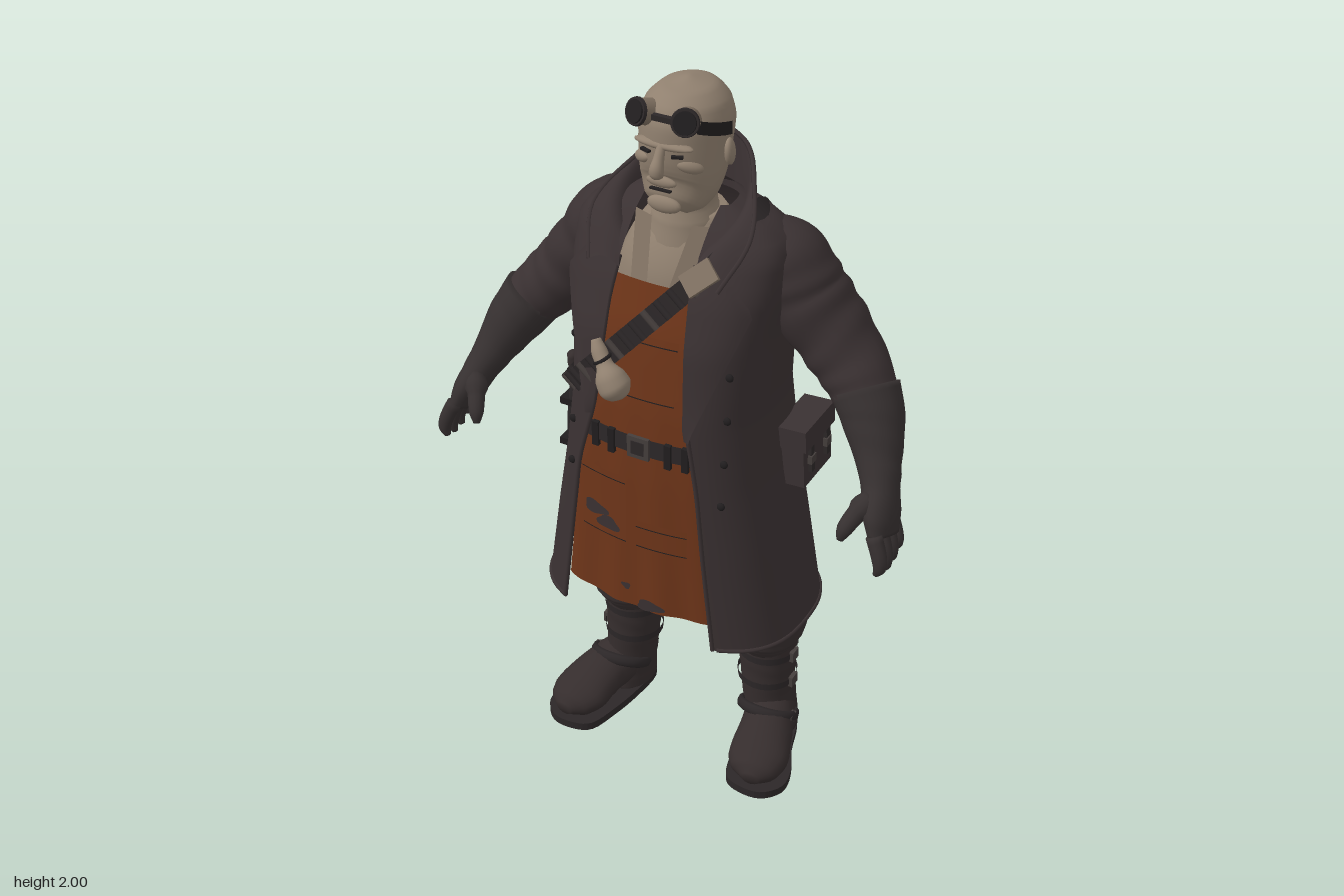
import * as THREE from 'three';

const V = (x, y, z) => new THREE.Vector3(x, y, z);
const material = (name, color, side = THREE.FrontSide) =>
  Object.assign(new THREE.MeshStandardMaterial({ color, side }), { name });

export function createModel() {
  const root = new THREE.Group();
  root.name = 'coatedMan';
  const D = THREE.DoubleSide;
  const skin = material('skin', 0x90806f);
  const tan = material('tanCloth', 0x7f7061, D);
  const coat = material('coatCloth', 0x3a3132, D);
  const glove = material('gloveLeather', 0x363030);
  const boot = material('bootLeather', 0x352d2d);
  const trouser = material('trouserCloth', 0x383030);
  const apron = material('apronLeather', 0x6e3519, D);
  const strap = material('strapLeather', 0x2c2728, D);
  const metal = material('metal', 0x453e3c);
  const dark = material('darkDetail', 0x211e1f, D);

  function add(name, geo, mat, pos, rot, scale) {
    const m = new THREE.Mesh(geo, mat);
    m.name = name;
    if (pos) m.position.set(...pos);
    if (rot) m.rotation.set(...rot);
    if (scale) m.scale.set(...scale);
    root.add(m);
    return m;
  }
  const box = (name, mat, size, pos, rot) => add(name, new THREE.BoxGeometry(...size), mat, pos, rot);
  const ball = (name, mat, size, pos, rot) => add(name, new THREE.SphereGeometry(1, 20, 14), mat, pos, rot, size);

  function build(pos, idx) {
    const g = new THREE.BufferGeometry();
    g.setAttribute('position', new THREE.Float32BufferAttribute(pos, 3));
    g.setIndex(idx);
    g.computeVertexNormals();
    return g;
  }
  // sheet from a rule f(u, v)
  function grid(f, nu, nv) {
    const pos = [], idx = [];
    for (let j = 0; j <= nv; j++) for (let i = 0; i <= nu; i++) {
      pos.push(...f(i / nu, j / nv).toArray());
      if (i < nu && j < nv) {
        const a = j * (nu + 1) + i, d = a + nu + 1;
        idx.push(a, a + 1, d, a + 1, d + 1, d);
      }
    }
    return build(pos, idx);
  }
  // closed loft along stations [x, y, z, radiusA, radiusB], with optional cloth folds
  function limb(st, segs = 20, ref = V(0, 0, 1), fold = 0, waves = 8, n = 20) {
    const c = new THREE.CatmullRomCurve3(st.map(s => V(s[0], s[1], s[2])));
    const r = new THREE.CatmullRomCurve3(st.map(s => V(s[3], s[4], 0)));
    const pos = [], idx = [];
    for (let i = 0; i <= segs; i++) {
      const t = i / segs, p = c.getPoint(t), q = r.getPoint(t), T = c.getTangent(t);
      const A = T.clone().cross(ref).normalize(), B = T.clone().cross(A);
      for (let j = 0; j < n; j++) {
        const a = j / n * Math.PI * 2;
        const k = 1 + fold * Math.sin(t * waves * 6.28 + 2.2 * Math.sin(a + t * 9)) * Math.sin(Math.PI * t);
        pos.push(...p.clone().addScaledVector(A, q.x * k * Math.cos(a)).addScaledVector(B, q.y * k * Math.sin(a)).toArray());
        if (i < segs) {
          const a0 = i * n + j, b0 = i * n + (j + 1) % n;
          idx.push(a0, b0, a0 + n, b0, b0 + n, a0 + n);
        }
      }
    }
    const e = pos.length / 3;
    pos.push(...c.getPoint(0).toArray(), ...c.getPoint(1).toArray());
    for (let j = 0; j < n; j++) {
      const k = (j + 1) % n;
      idx.push(e, k, j, e + 1, segs * n + j, segs * n + k);
    }
    return build(pos, idx);
  }
  const tube = (name, mat, pts, r, segs = 30) =>
    add(name, new THREE.TubeGeometry(new THREE.CatmullRomCurve3(pts), segs, r, 6), mat);

  // coat levels: y, half width, front z, back z, opening at -x, opening at +x
  const levels = [
    [0.53, .368, .24, -.30, .245, .21], [0.8, .325, .238, -.275, .21, .18], [1.0, .29, .235, -.26, .185, .16],
    [1.2, .265, .228, -.252, .13, .13], [1.4, .272, .20, -.25, .11, .12], [1.52, .285, .155, -.237, .11, .11],
    [1.61, .28, .105, -.205, .10, .10], [1.655, .25, .065, -.18, .10, .10], [1.685, .18, .03, -.165, .10, .10], [1.7, .12, 0, -.15, .10, .10]];
  function level(y) {
    let i = 0;
    while (i < levels.length - 2 && y > levels[i + 1][0]) i++;
    const a = levels[i], b = levels[i + 1], t = (y - a[0]) / (b[0] - a[0]);
    return a.map((v, k) => v + (b[k] - v) * t);
  }
  const FRONT = 0.7, BACK = 0.84, ZC = -0.03;
  function coatPoint(y, phi) {
    const [, rx, zf, zb] = level(y), c = Math.cos(phi), s = Math.sin(phi), e = c > 0 ? FRONT : BACK;
    const z = Math.abs(c) ** e * (c > 0 ? zf - ZC : zb - ZC);
    return V(rx * Math.sign(s) * Math.abs(s) ** e, y, ZC + z);
  }
  const phiAt = (x, rx, e = FRONT) => Math.asin(Math.min(1, Math.abs(x) / rx) ** (1 / e));
  const frontZ = (x, y) => coatPoint(y, phiAt(x, level(y)[1])).z;
  const backZ = (x, y) => coatPoint(y, Math.PI - phiAt(x, level(y)[1], BACK)).z;

  // long open coat
  add('coatBody', grid((u, v) => {
    const y = 0.53 + 1.17 * v, L = level(y), a = phiAt(L[5], L[1]), b = 2 * Math.PI - phiAt(L[4], L[1]);
    return coatPoint(y, a + (b - a) * u);
  }, 72, 40), coat);
  tube('coatHem', coat, Array.from({ length: 25 }, (_, i) => coatPoint(0.532, 0.5 + 5.2 * i / 24)), 0.006, 72);
  for (const s of [1, -1]) {
    const edge = y => { const x = level(y)[s > 0 ? 5 : 4]; return V(s * x, y, frontZ(x, y)); };
    tube('coatEdge', coat, Array.from({ length: 12 }, (_, i) => edge(0.53 + i * 0.095)), 0.006);
    // lapel
    add('lapel', grid((u, v) => {
      const y = 1.17 + 0.43 * v, x0 = level(y)[s > 0 ? 5 : 4] - 0.005;
      const w = v < 0.78 ? 0.015 + 0.135 * v / 0.78 : 0.15 - 0.3 * (v - 0.78);
      const x = x0 + w * u;
      return V(s * x, y, frontZ(x, y) + 0.012 + 0.01 * u);
    }, 8, 16), coat);
    // coat buttons
    for (const y of [0.98, 1.1, 1.22, 1.34])
      ball('coatButton', dark, [.011, .011, .007], [s * .215, y, frontZ(.215, y) + 0.003]);
    // sleeve
    add('sleeve', limb([[s * .15, 1.58, -.08, .07, .085], [s * .235, 1.555, -.085, .1, .11], [s * .298, 1.465, -.095, .102, .112],
      [s * .375, 1.365, -.1, .097, .105], [s * .455, 1.28, -.075, .085, .09], [s * .52, 1.2, -.035, .069, .075]], 48, V(0, 0, 1), .028, 7), coat);
    // glove with gauntlet, fingers and thumb
    add('glove', limb([[s * .475, 1.265, -.066, .086, .088], [s * .515, 1.2, -.035, .077, .08], [s * .555, 1.12, .015, .056, .06],
      [s * .578, 1.07, .048, .046, .054], [s * .598, 1.02, .08, .039, .068], [s * .613, .975, .097, .029, .062]], 28, V(0, 0, 1), .02, 4), glove);
    for (let i = 0; i < 4; i++) {
      const z = 0.045 + i * 0.034, d = [.02, .005, 0, .008][i];
      add('finger', limb([[s * .608, 1.0, z, .021, .02], [s * .628, .955, z + .01, .02, .019],
        [s * .634, .915 + d, z + .014, .017, .017], [s * .625, .893 + d, z + .016, .008, .008]], 10, V(0, 0, 1), 0, 1, 10), glove);
    }
    add('thumb', limb([[s * .575, 1.07, .085, .024, .024], [s * .55, 1.035, .125, .024, .024],
      [s * .533, 1.0, .155, .02, .02], [s * .527, .973, .165, .009, .009]], 12, V(0, 0, 1), 0, 1, 12), glove);
    // trouser leg
    add('trouserLeg', limb([[s * .11, .95, -.03, .13, .15], [s * .15, .75, -.04, .13, .14], [s * .19, .58, -.065, .122, .135],
      [s * .215, .47, -.085, .115, .12], [s * .213, .39, -.1, .103, .108], [s * .21, .34, -.108, .08, .085]], 44, V(0, 0, 1), .028, 7), trouser);
    // boot, toes turned out
    add('bootShaft', limb([[s * .212, .36, -.108, .082, .083], [s * .214, .27, -.108, .079, .08], [s * .22, .16, -.11, .072, .08],
      [s * .228, .09, -.112, .07, .085], [s * .232, .02, -.112, .07, .09]], 28, V(0, 0, 1), .015, 5), boot);
    add('bootFoot', limb([[s * .228, .07, -.15, .058, .05], [s * .243, .095, -.08, .07, .07], [s * .265, .09, 0, .076, .064],
      [s * .284, .072, .08, .084, .054], [s * .294, .062, .13, .066, .043], [s * .298, .055, .16, .022, .018]], 28, V(0, 1, 0), .01, 5), boot);
    const outline = [[.21, -.2], [.168, -.15], [.172, -.04], [.19, .06], [.215, .14], [.265, .165], [.33, .16],
      [.373, .11], [.366, .04], [.325, -.05], [.298, -.14], [.262, -.2], [.21, -.2]];
    const sole = new THREE.Shape(new THREE.SplineCurve(outline.map(p => new THREE.Vector2(s * p[0], p[1]))).getPoints(48));
    add('bootSole', new THREE.ExtrudeGeometry(sole, { depth: .024, bevelEnabled: false }), strap, [0, .024, 0], [Math.PI / 2, 0, 0]);
    for (const y of [.31, .22]) {
      add('bootStrap', new THREE.CylinderGeometry(.084, .083, .022, 24, 1, true), strap, [s * .214, y, -.108]);
      box('bootBuckle', metal, [.012, .032, .034], [s * .297, y, -.1]);
    }
    add('instepStrap', new THREE.TorusGeometry(.079, .01, 8, 28), strap, [s * .238, .115, -.07], [1.05, 0, 0], [1, 1, 1.6]);
    box('instepBuckle', metal, [.014, .03, .034], [s * .316, .115, -.06]);
  }

  // turned up collar, ruled between neck line and outer edge
  const mirrorCurve = h => new THREE.CatmullRomCurve3([...h, ...h.slice(0, -1).reverse().map(p => [-p[0], p[1], p[2]])].map(p => V(...p)));
  const low = mirrorCurve([[.09, 1.56, .15], [.115, 1.63, .095], [.14, 1.66, -.03], [.085, 1.665, -.14], [0, 1.665, -.165]]);
  const high = mirrorCurve([[.175, 1.56, .15], [.212, 1.66, .06], [.165, 1.74, -.055], [.095, 1.8, -.15], [0, 1.822, -.174]]);
  add('collar', grid((u, v) => low.getPoint(u).lerp(high.getPoint(u), v)
    .add(V(0, .018 * Math.sin(v * Math.PI), 0)), 48, 8), coat);
  tube('collarEdge', coat, high.getPoints(24), 0.006, 60);

  // hips, chest, open shirt and neck
  add('hips', limb([[0, .7, -.04, .06, .08], [0, .78, -.03, .2, .16], [0, 1.05, -.02, .22, .17], [0, 1.3, -.02, .22, .16]], 14), trouser);
  add('chest', limb([[0, 1.3, -.02, .2, .14], [0, 1.5, -.03, .18, .14], [0, 1.6, -.04, .14, .115], [0, 1.67, -.04, .09, .08]], 14), skin);
  add('neck', limb([[0, 1.58, -.02, .1, .1], [0, 1.66, -.025, .085, .09], [0, 1.78, -.03, .085, .09]], 12), skin);
  for (const s of [1, -1]) add('shirtCollar', grid((u, v) => {
    const y = 1.49 + .17 * v;
    return V(s * (.025 + .03 * v + .055 * u), y, .135 - .085 * v - .02 * u);
  }, 4, 6), tan);

  // head
  add('head', limb([[0, 1.695, .055, .04, .035], [0, 1.712, .042, .073, .062], [0, 1.75, .012, .096, .097], [0, 1.79, -.006, .104, .114],
    [0, 1.85, -.02, .108, .127], [0, 1.9, -.028, .11, .131], [0, 1.95, -.034, .097, .115], [0, 1.983, -.036, .064, .077], [0, 2.0, -.036, .008, .01]], 40, V(0, 0, 1), 0, 1, 32), skin);
  add('nose', limb([[0, 1.88, .098, .011, .01], [0, 1.85, .112, .013, .014], [0, 1.822, .124, .018, .018], [0, 1.808, .114, .013, .01]], 12), skin);
  ball('brow', skin, [.078, .012, .022], [0, 1.878, .087]);
  ball('chin', skin, [.045, .022, .016], [0, 1.722, .088]);
  ball('upperLip', skin, [.04, .014, .012], [0, 1.787, .1]);
  box('mouth', dark, [.056, .004, .01], [0, 1.768, .105]);
  for (const s of [1, -1]) {
    ball('ear', skin, [.014, .036, .024], [s * .111, 1.835, -.03], [.2, s * .3, 0]);
    ball('cheekbone', skin, [.034, .016, .016], [s * .062, 1.828, .074], [0, s * .6, -s * .3]);
    box('eye', dark, [.028, .006, .01], [s * .042, 1.859, .1], [0, s * .35, 0]);
    // goggles pushed up on the forehead
    const cup = (name, mat, r, d, out) => add(name, new THREE.CylinderGeometry(r, r * 1.05, d, 20), mat,
      [s * (.054 + out * .35), 1.942 + out * .35, .074 + out], [Math.PI / 2 - .35, 0, -s * .35]);
    cup('goggleCup', tan, .031, .05, .007);
    cup('goggleRim', strap, .033, .008, .029);
    cup('goggleLens', dark, .027, .005, .034);
    add('goggleStrap', grid((u, v) => {
      const a = .75 + u * .85;
      return V(s * .115 * Math.sin(a), 1.93 - .035 * u + .034 * (v - .5), -.03 + .138 * Math.cos(a));
    }, 12, 2), dark);
  }
  box('goggleBridge', strap, [.05, .014, .014], [0, 1.945, .094]);

  // apron
  const apronLine = [[.58, .222], [1.0, .217], [1.2, .207], [1.4, .18], [1.54, .135]];
  function apronZ(x, y) {
    let i = 0;
    while (i < 3 && y > apronLine[i + 1][0]) i++;
    const [a, b] = [apronLine[i], apronLine[i + 1]];
    return a[1] + (b[1] - a[1]) * (y - a[0]) / (b[0] - a[0]) - .8 * x * x;
  }
  add('apron', grid((u, v) => {
    const y = .59 + .94 * v, L = level(y), x = -L[4] - .008 + (L[4] + L[5] + .016) * u;
    return V(x, y, apronZ(x, y) + .004 * Math.sin(u * 22) * (1 - v) ** 2);
  }, 30, 24), apron);
  const patch = (name, mat, x0, x1, y0, y1, off) => add(name, grid((u, v) => {
    const x = x0 + (x1 - x0) * u, y = y0 + (y1 - y0) * v;
    return V(x, y, apronZ(x, y) + off);
  }, 12, 4), mat);
  for (const [x0, x1, y0, y1] of [[-.18, -.04, .8, 1.0], [-.01, .13, .8, .88], [-.08, .09, 1.24, 1.41]]) {
    patch('apronPocket', apron, x0, x1, y0, y1, .008);
    patch('pocketSeam', dark, x0, x1, y0, y0 + .003, .01);
    patch('pocketHem', dark, x0, x1, y1 - .02, y1 - .017, .01);
  }
  // dark worn stains
  for (const [x, y, rx, ry] of [[-.135, .87, .045, .024], [-.095, .838, .042, .024], [.03, .615, .045, .02], [-.04, .66, .016, .012]]) {
    const g = new THREE.CircleGeometry(1, 24), p = g.attributes.position;
    for (let i = 1; i < p.count; i++) {
      const k = .85 + .15 * Math.sin(i * Math.PI / 4 + x * 40), px = x + p.getX(i) * rx * k, py = y + p.getY(i) * ry * k;
      p.setXYZ(i, px, py, apronZ(px, py) + .012);
    }
    p.setXYZ(0, x, y, apronZ(x, y) + .012);
    g.computeVertexNormals();
    add('apronStain', g, coat);
  }
  // belt
  patch('belt', strap, -.18, .165, 1.085, 1.135, .012);
  box('beltBuckle', metal, [.06, .062, .01], [0, 1.108, .226]);
  box('buckleCentre', strap, [.036, .038, .012], [0, 1.108, .227]);
  for (const x of [-.13, -.08, .08, .125]) box('beltLoop', dark, [.018, .07, .012], [x, 1.102, apronZ(x, 1.1) + .013]);

  // bandolier looped from left shoulder to right hip
  const loop = [], run = t => [.16 - .42 * t, 1.62 - .46 * t];
  for (const t of [0, .2, .4, .6, .8, .97]) { const [x, y] = run(t); loop.push(V(x, y, frontZ(x, y) + .014)); }
  loop.push(V(-.284, 1.14, -.03));
  for (const t of [.97, .8, .6, .4, .2, 0]) { const [x, y] = run(t); loop.push(V(x, y, backZ(x, y) - .008)); }
  loop.push(V(.185, 1.69, -.05));
  const sling = new THREE.CatmullRomCurve3(loop, true), W = V(.73, -.68, 0);
  add('bandolier', grid((u, v) => sling.getPoint(u).addScaledVector(W, (v - .5) * .056), 90, 2), strap);
  for (let i = 0; i < 26; i++) {
    const t = i < 15 ? .05 + i * .024 : .56 + (i - 15) * .0225;
    const c = add('cartridge', new THREE.CylinderGeometry(.009, .009, .056, 8), i % 3 ? strap : metal, sling.getPoint(t).toArray());
    c.quaternion.setFromUnitVectors(V(0, 1, 0), W);
  }
  box('shoulderPad', tan, [.085, .06, .012], [.125, 1.585, frontZ(.125, 1.585) + .032], [-.6, 0, .8]);

  // small gourd flask hanging from the bandolier
  add('flask', limb([[-.115, 1.39, .225, .012, .012], [-.1, 1.365, .235, .02, .02], [-.08, 1.34, .246, .021, .021], [-.06, 1.315, .255, .038, .038],
    [-.045, 1.292, .257, .042, .042], [-.03, 1.27, .257, .026, .026], [-.026, 1.263, .257, .005, .005]], 28), skin);
  add('flaskCord', new THREE.TorusGeometry(.021, .005, 6, 16), dark, [-.088, 1.35, .241], [Math.PI / 2, .6, 0]);

  // left hip pouch
  box('hipPouch', coat, [.075, .15, .16], [.308, 1.03, -.085], [0, 0, .06]);
  box('pouchFlap', coat, [.085, .06, .17], [.309, 1.095, -.085], [0, 0, .06]);
  for (const z of [-.13, -.04]) {
    box('pouchStrap', strap, [.088, .12, .018], [.31, 1.05, z], [0, 0, .06]);
    box('pouchBuckle', metal, [.012, .024, .026], [.352, 1.03, z]);
  }
  // right hip holster with tool grip
  add('holster', limb([[-.3, 1.09, -.01, .028, .05], [-.314, .98, -.01, .028, .045], [-.328, .86, -.01, .022, .032], [-.335, .81, -.01, .014, .018]], 14), strap);
  add('toolGrip', limb([[-.303, 1.07, -.01, .016, .02], [-.314, 1.13, 0, .02, .024], [-.32, 1.17, .012, .012, .014]], 10), boot);
  for (const y of [.9, 1.03]) box('holsterStrap', dark, [.06, .02, .096], [-.361 + y * .045, y, -.01]);
  return root;
}
